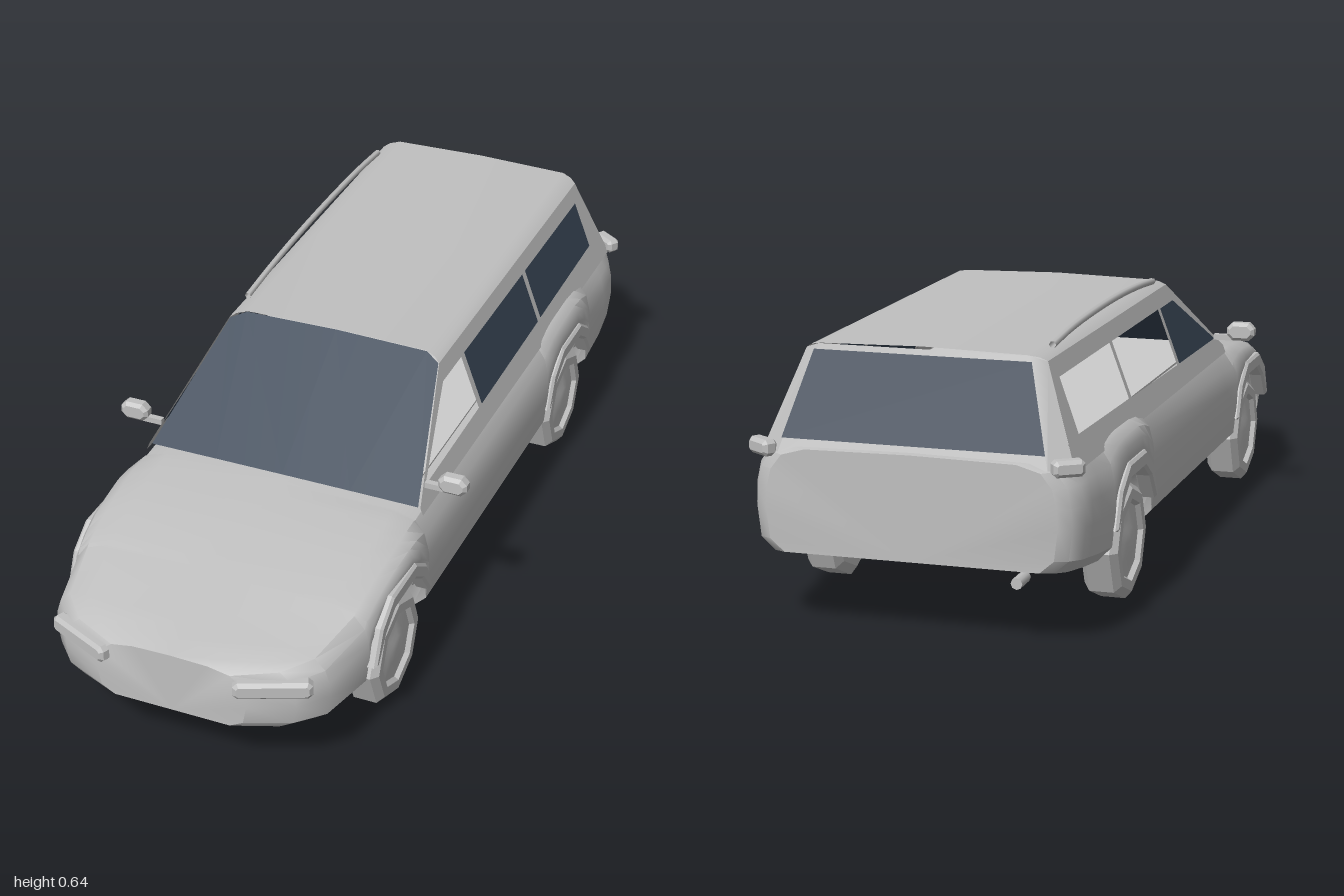
import * as THREE from 'three';
import { toCreasedNormals } from 'three/addons/utils/BufferGeometryUtils.js';

const paint = new THREE.MeshStandardMaterial({ color: 0xc0c0c0, side: THREE.DoubleSide });
paint.name = 'greyPaint';
const glass = new THREE.MeshStandardMaterial({ color: 0x394656, side: THREE.DoubleSide });
glass.name = 'darkGlass';
const lining = new THREE.MeshStandardMaterial({ color: 0xcccccc, side: THREE.DoubleSide });
lining.name = 'lightLining';

// Piecewise linear lookup in [[z, value], ...] sorted by falling z
function lookup(table, z) {
  for (let i = 0; i < table.length - 1; i++) {
    const [z0, v0] = table[i], [z1, v1] = table[i + 1];
    if (z <= z0 + 1e-6 && z >= z1 - 1e-6) return v0 + (v1 - v0) * (z0 - z) / (z0 - z1);
  }
  return table[table.length - 1][1];
}

// Skin over rows of points; caps close the first and last ring
function loft(rows, caps = false) {
  const n = rows[0].length, pos = rows.flat(2), idx = [];
  for (let r = 0; r < rows.length - 1; r++)
    for (let i = 0; i < (caps ? n : n - 1); i++) {
      const a = r * n + i, b = r * n + (i + 1) % n;
      idx.push(a, b, a + n, b, b + n, a + n);
    }
  if (caps) {
    const last = (rows.length - 1) * n;
    for (let i = 1; i < n - 1; i++) idx.push(0, i + 1, i, last, last + i, last + i + 1);
  }
  const g = new THREE.BufferGeometry();
  g.setAttribute('position', new THREE.Float32BufferAttribute(pos, 3));
  g.setIndex(idx);
  return toCreasedNormals(g, 0.6);
}

const AXLES = [0.57, -0.575];
const ARCH = [[0.165, 0.13], [0.155, 0.195], [0.11, 0.257], [0.06, 0.29], [-0.06, 0.29], [-0.11, 0.257], [-0.155, 0.195], [-0.165, 0.13]];
const WIDTH = [[0.983, 0.18], [0.94, 0.28], [0.88, 0.335], [0.735, 0.366], [0.5, 0.378], [-0.85, 0.378], [-0.94, 0.37], [-0.98, 0.352], [-0.997, 0.325]];
const TOP = [[0.983, 0.295], [0.94, 0.305], [0.88, 0.317], [0.735, 0.343], [0.57, 0.373], [0.4, 0.395], [0.3, 0.4], [-0.9, 0.41], [-0.997, 0.4]];
const BOTTOM = [[0.983, 0.145],
  ...AXLES.flatMap(c => ARCH.map(([d, y]) => [c + d, y])), [-0.997, 0.168]];
// Half cross-section: inset from full width, height fraction
const SECTION = [[0.04, 0], [0.008, 0.12], [0, 0.4], [0.002, 0.6], [0.012, 0.78], [0.037, 0.92], [0.09, 0.985]];

function bodyRing(z) {
  const w = lookup(WIDTH, z), b = lookup(BOTTOM, z), t = lookup(TOP, z);
  const half = SECTION.map(([inset, f]) => [w - inset, b + (t - b) * f, z]);
  const mirrored = half.map(([x, y]) => [-x, y, z]).reverse();
  return [[0, b, z], ...half, [0, t, z], ...mirrored];
}

// Greenhouse sides lean inwards with height
const sideX = y => 0.268 + (0.6 - y) * 0.37;
const WINDOWS = [
  [[0.33, 0.42], [0.098, 0.555], [-0.02, 0.555], [-0.02, 0.424]],
  [[-0.04, 0.424], [-0.04, 0.556], [-0.445, 0.556], [-0.445, 0.43]],
  [[-0.465, 0.431], [-0.465, 0.556], [-0.85, 0.556], [-0.855, 0.437]],
];
const shapeOf = pts => new THREE.Shape(pts.map(p => new THREE.Vector2(...p)));

function sidePanel(shape, s) {
  const g = new THREE.ShapeGeometry(shape), p = g.attributes.position;
  for (let i = 0; i < p.count; i++) {
    const z = p.getX(i), y = p.getY(i);
    p.setXYZ(i, s * sideX(y), y, z);
  }
  g.computeVertexNormals();
  return g;
}

// Chamfered block with its long side on x
function chamferBlock(w, h, d, c) {
  const a = w / 2, b = h / 2;
  const s = shapeOf([[-a + c, -b], [a - c, -b], [a, -b + c], [a, b - c], [a - c, b], [-a + c, b], [-a, b - c], [-a, -b + c]]);
  const g = new THREE.ExtrudeGeometry(s, { depth: d - 0.016, bevelThickness: 0.008, bevelSize: 0.008, bevelOffset: -0.008, bevelSegments: 1 });
  return g.translate(0, 0, -d / 2 + 0.008);
}

export function createModel() {
  const car = new THREE.Group();
  car.name = 'stationWagon';
  const add = (name, geo, mat = paint, x = 0, y = 0, z = 0) => {
    const m = new THREE.Mesh(geo, mat);
    m.name = name;
    m.position.set(x, y, z);
    car.add(m);
    return m;
  };

  // Lower body with wheel tunnels
  const stations = [...new Set([...WIDTH, ...TOP, ...BOTTOM].map(p => +p[0].toFixed(4)))].sort((a, b) => b - a);
  add('lowerBody', loft(stations.map(bodyRing), true));

  // Cabin floor below the windows
  add('cabinFloor', new THREE.BoxGeometry(0.62, 0.005, 1.2), lining, 0, 0.412, -0.3);

  // Roof
  const roofRow = (zEdge, zMid) => [[-0.27, 0.595, zEdge], [-0.255, 0.604, (zEdge + zMid) / 2], [-0.23, 0.609, zMid], [0, 0.614, zMid],
    [0.23, 0.609, zMid], [0.255, 0.604, (zEdge + zMid) / 2], [0.27, 0.595, zEdge]];
  add('roof', loft([roofRow(0.088, 0.068), roofRow(-0.885, -0.903)]));

  // Windscreen
  add('windscreen', loft([
    [[-0.338, 0.393, 0.383], [-0.17, 0.396, 0.386], [0, 0.397, 0.387], [0.17, 0.396, 0.386], [0.338, 0.393, 0.383]],
    [[-0.268, 0.594, 0.088], [-0.232, 0.608, 0.069], [0, 0.613, 0.069], [0.232, 0.608, 0.069], [0.268, 0.594, 0.088]],
  ]), glass);

  // Tailgate frame, bevelled corners and rear window
  add('tailgateFrame', loft([
    [[-0.347, 0.385, -0.95], [-0.3, 0.385, -0.987], [0.3, 0.385, -0.987], [0.347, 0.385, -0.95]],
    [[-0.27, 0.595, -0.885], [-0.235, 0.608, -0.903], [0.235, 0.608, -0.903], [0.27, 0.595, -0.885]],
  ]));
  add('rearWindow', loft([
    [[-0.293, 0.415, -0.981], [0.293, 0.415, -0.981]],
    [[-0.243, 0.597, -0.912], [0.243, 0.597, -0.912]],
  ]), glass);

  for (const s of [1, -1]) {
    const side = s > 0 ? 'left' : 'right';

    // Cabin side with window openings; the panes differ from side to side
    const panel = shapeOf([[0.385, 0.375], [0.385, 0.393], [0.088, 0.595], [-0.885, 0.595], [-0.95, 0.385], [-0.95, 0.375]]);
    WINDOWS.forEach(w => panel.holes.push(new THREE.Path(w.map(p => new THREE.Vector2(...p)))));
    add(side + 'CabinSide', sidePanel(panel, s));
    const panes = s > 0 ? WINDOWS.slice(1) : WINDOWS.slice(0, 1);
    panes.forEach(w => add(side + 'SideWindow', sidePanel(shapeOf(w), s), glass));

    // Wheels and arch flares
    for (const c of AXLES) {
      const end = c > 0 ? 'Front' : 'Rear';
      const profile = [[0, -0.043], [0.115, -0.043], [0.136, -0.028], [0.136, 0.028], [0.118, 0.043], [0.095, 0.043], [0.088, 0.032], [0.045, 0.036], [0.03, 0.04], [0, 0.04]];
      const tyre = toCreasedNormals(new THREE.LatheGeometry(profile.map(p => new THREE.Vector2(...p)), 8), 0.3);
      add(side + end + 'Wheel', tyre.rotateZ(-s * Math.PI / 2), paint, s * 0.327, 0.136, c);

      const outer = [[-0.172, 0.2], [-0.135, 0.283], [-0.068, 0.328], [0.068, 0.328], [0.135, 0.283], [0.172, 0.2]];
      const flare = new THREE.ExtrudeGeometry(shapeOf([...ARCH.slice(1, -1), ...outer]), {
        depth: 0.03, bevelThickness: 0.006, bevelSize: 0.006, bevelOffset: -0.006, bevelSegments: 1 });
      flare.rotateY(-Math.PI / 2).translate(0.015, 0, 0);
      add(side + end + 'ArchFlare', flare, paint, s * 0.364, 0, c);
    }

    // Headlight wrapped round the corner
    const lamp = add(side + 'Headlight', chamferBlock(0.175, 0.042, 0.035, 0.01), paint, s * 0.231, 0.255, 0.953);
    lamp.rotation.y = s * 0.42;

    // Tail light on the rear corner
    const tail = add(side + 'TailLight', chamferBlock(0.07, 0.036, 0.035, 0.008), paint, s * 0.34, 0.392, -0.972);
    tail.rotation.y = -s * 0.6;

    // Door mirror and arm
    add(side + 'Mirror', chamferBlock(0.07, 0.045, 0.035, 0.014), paint, s * 0.404, 0.442, 0.33);
    add(side + 'MirrorArm', new THREE.BoxGeometry(0.05, 0.014, 0.015), paint, s * 0.36, 0.425, 0.33);
  }

  // Single roof rail
  const railPath = new THREE.CatmullRomCurve3([[0.01, 0.615], [-0.12, 0.625], [-0.3, 0.632], [-0.5, 0.632], [-0.68, 0.626], [-0.81, 0.615]]
    .map(([z, y]) => new THREE.Vector3(-0.257, y, z)));
  add('roofRail', new THREE.TubeGeometry(railPath, 16, 0.008, 6), paint);

  // Exhaust pipe
  add('exhaustPipe', new THREE.CylinderGeometry(0.013, 0.013, 0.06, 8).rotateX(Math.PI / 2), paint, -0.23, 0.136, -0.95);

  return car;
}
